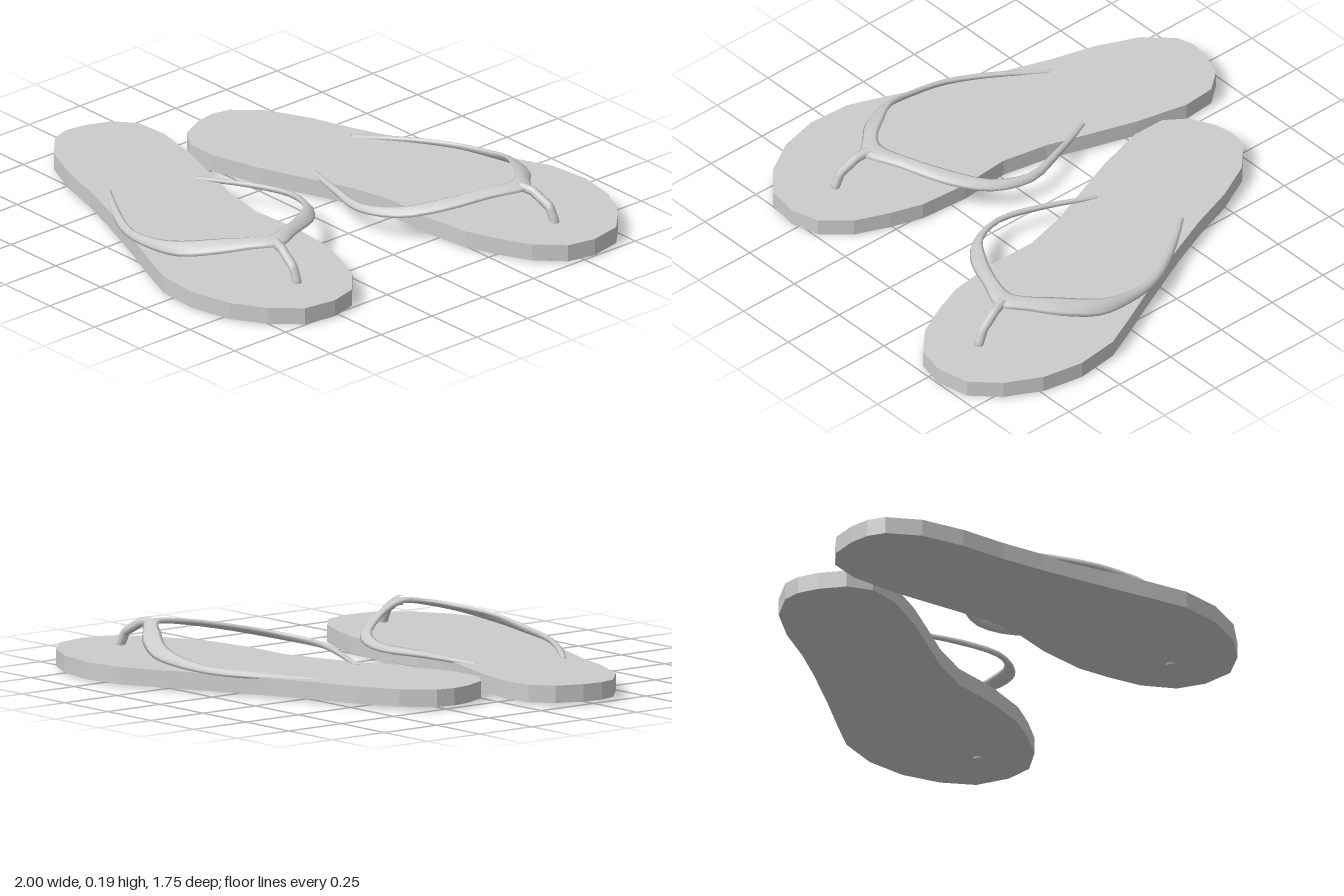
import * as THREE from 'three';

const material = new THREE.MeshStandardMaterial({ color: 0xcccccc });

// Sole outline as [x, z], heel at -x and toe at +x
const OUTLINE = [
  [-1, 0.29], [-0.99, 0.21], [-0.95, 0.11], [-0.87, 0.045], [-0.74, 0.035], [-0.54, 0.08],
  [-0.37, 0.135], [-0.19, 0.195], [-0.01, 0.23], [0.19, 0.215], [0.385, 0.23], [0.51, 0.27],
  [0.64, 0.325], [0.74, 0.415], [0.77, 0.525], [0.75, 0.655], [0.66, 0.755], [0.53, 0.835],
  [0.37, 0.875], [0.2, 0.865], [0.06, 0.81], [-0.13, 0.73], [-0.37, 0.635], [-0.54, 0.575],
  [-0.72, 0.525], [-0.88, 0.455], [-0.98, 0.36],
];

// Strap edges from one anchor over the instep to the other: outer x, y, z, inner x, y, z
const STRAP = [
  [-0.51, 0.07, 0.525, -0.49, 0.076, 0.515],
  [-0.33, 0.07, 0.65, -0.31, 0.09, 0.63],
  [-0.165, 0.073, 0.73, -0.145, 0.097, 0.71],
  [0, 0.082, 0.752, 0, 0.115, 0.722],
  [0.15, 0.1, 0.742, 0.115, 0.14, 0.702],
  [0.285, 0.135, 0.67, 0.245, 0.167, 0.612],
  [0.37, 0.158, 0.585, 0.325, 0.18, 0.55],
  [0.445, 0.172, 0.503, 0.36, 0.182, 0.493],
  [0.38, 0.158, 0.375, 0.33, 0.176, 0.39],
  [0.285, 0.125, 0.207, 0.247, 0.152, 0.253],
  [0.165, 0.097, 0.097, 0.143, 0.125, 0.13],
  [0, 0.085, 0.052, 0, 0.108, 0.08],
  [-0.18, 0.082, 0.107, -0.17, 0.098, 0.127],
  [-0.385, 0.068, 0.195, -0.37, 0.076, 0.21],
];

// Flat slab, very slightly lower at the toe
function soleGeometry(side) {
  const shape = new THREE.Shape(OUTLINE.map(([x, z]) => new THREE.Vector2(x, -z * side)));
  const geometry = new THREE.ExtrudeGeometry(shape, { depth: 0.065, bevelEnabled: false });
  geometry.rotateX(-Math.PI / 2);
  const p = geometry.attributes.position;
  for (let i = 0; i < p.count; i++) p.setY(i, p.getY(i) + 0.009 - 0.004 * p.getX(i));
  geometry.computeVertexNormals();
  return geometry;
}

// Rounded band swept between its two edge curves
function strapGeometry(side) {
  const edge = (k) => new THREE.CatmullRomCurve3(
    STRAP.map((r) => new THREE.Vector3(r[k], r[k + 1], r[k + 2] * side)));
  const outer = edge(0), inner = edge(3);
  const steps = (STRAP.length - 1) * 3, sides = 8;
  const positions = [], index = [];
  const middle = (t) => outer.getPoint(t).add(inner.getPoint(t)).multiplyScalar(0.5);
  for (let i = 0; i <= steps; i++) {
    const t = i / steps;
    const centre = middle(t);
    const half = outer.getPoint(t).sub(centre);
    const along = middle(Math.min(1, t + 0.01)).sub(middle(Math.max(0, t - 0.01)));
    const thickness = Math.min(0.011, half.length() * 0.8);
    const normal = along.cross(half).setLength(thickness);
    for (let j = 0; j < sides; j++) {
      const a = (j / sides) * Math.PI * 2;
      const v = centre.clone().addScaledVector(half, Math.cos(a)).addScaledVector(normal, Math.sin(a));
      positions.push(v.x, v.y, v.z);
      if (i === steps) continue;
      const b = i * sides + j, c = i * sides + ((j + 1) % sides);
      index.push(b, b + sides, c, c, b + sides, c + sides);
    }
  }
  // Close both ends
  const last = steps * sides;
  for (let j = 1; j < sides - 1; j++) {
    index.push(0, j, j + 1, last, last + j + 1, last + j);
  }
  const geometry = new THREE.BufferGeometry();
  geometry.setAttribute('position', new THREE.Float32BufferAttribute(positions, 3));
  geometry.setIndex(index);
  // Turn the faces outward if the enclosed volume comes out negative
  const v = (k) => new THREE.Vector3().fromArray(positions, index[k] * 3);
  let volume = 0;
  for (let k = 0; k < index.length; k += 3) volume += v(k).dot(v(k + 1).cross(v(k + 2)));
  if (volume < 0) geometry.setIndex(index.reverse());
  geometry.computeVertexNormals();
  return geometry;
}

// Post between the toes, bending down from the strap into the sole
function toePostGeometry(side) {
  const path = new THREE.CurvePath();
  const points = [[0.41, 0.176, 0.5], [0.46, 0.168, 0.512], [0.535, 0.125, 0.523], [0.56, 0.07, 0.525], [0.56, 0.003, 0.525]]
    .map(([x, y, z]) => new THREE.Vector3(x, y, z * side));
  for (let i = 1; i < points.length; i++) path.add(new THREE.LineCurve3(points[i - 1], points[i]));
  return new THREE.TubeGeometry(path, 16, 0.018, 8);
}

function createSandal(name, side) {
  const sandal = new THREE.Group();
  sandal.name = name;
  const parts = { sole: soleGeometry, strap: strapGeometry, toePost: toePostGeometry };
  for (const [part, build] of Object.entries(parts)) {
    const mesh = new THREE.Mesh(build(side), material);
    mesh.name = part;
    sandal.add(mesh);
  }
  return sandal;
}

export function createModel() {
  const model = new THREE.Group();
  model.name = 'flipFlops';
  const front = createSandal('frontSandal', 1);
  // The mirrored sandal is pushed forward and turned slightly outward
  const back = createSandal('backSandal', -1);
  back.rotation.y = 0.06;
  back.position.set(0.262, 0, 0.017);
  model.add(front, back);
  return model;
}
